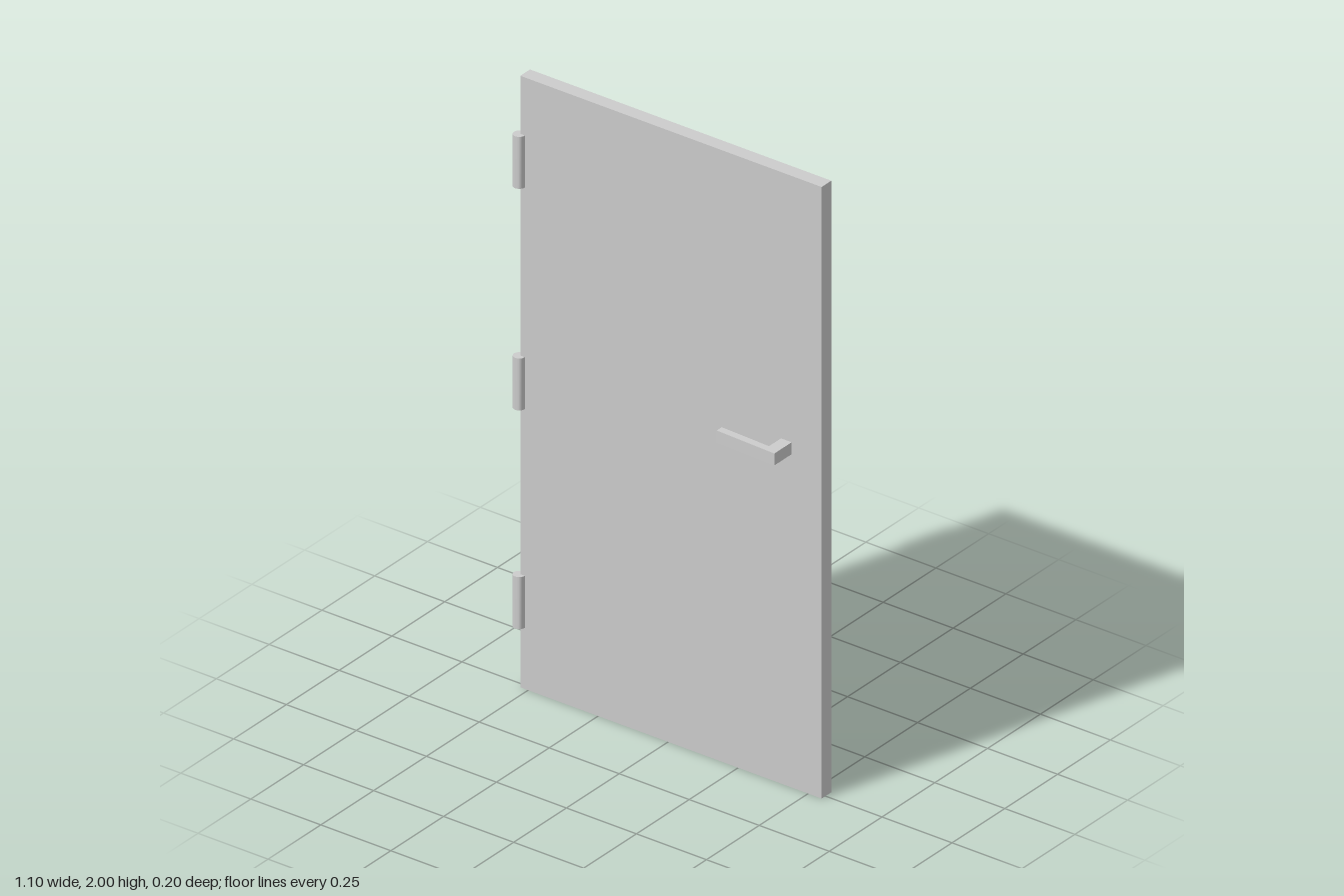
import * as THREE from 'three';
import { toCreasedNormals } from 'three/addons/utils/BufferGeometryUtils.js';

export function createModel() {
  const model = new THREE.Group();
  model.name = 'door';
  const material = new THREE.MeshStandardMaterial({ color: 0xcccccc });

  const add = (name, geometry, x, y, z) => {
    const mesh = new THREE.Mesh(geometry, material);
    mesh.name = name;
    mesh.position.set(x, y, z);
    model.add(mesh);
  };

  // Flat door leaf
  add('doorPanel', new THREE.BoxGeometry(1.076, 2, 0.046), 0.01, 1, -0.005);

  // Hinge barrels along the edge
  const hinge = toCreasedNormals(new THREE.CylinderGeometry(0.019, 0.019, 0.17, 24), 0.6);
  [0.285, 1.0, 1.725].forEach((y, i) => add(`hinge${i + 1}`, hinge, -0.531, y, 0.019));

  // Lever handles on both faces joined by the spindle: a plan outline (x, z) with thickness in y
  const outline = new THREE.Shape([
    [0.441, -0.105], [0.441, 0.1], [0.229, 0.092], [0.229, 0.068],
    [0.403, 0.075], [0.403, -0.081], [0.229, -0.081], [0.229, -0.105],
  ].map(([x, z]) => new THREE.Vector2(x, z)));
  const handle = new THREE.ExtrudeGeometry(outline, { depth: 0.039, bevelEnabled: false });
  handle.rotateX(Math.PI / 2);
  add('handle', handle, 0, 1.129, 0);

  return model;
}
